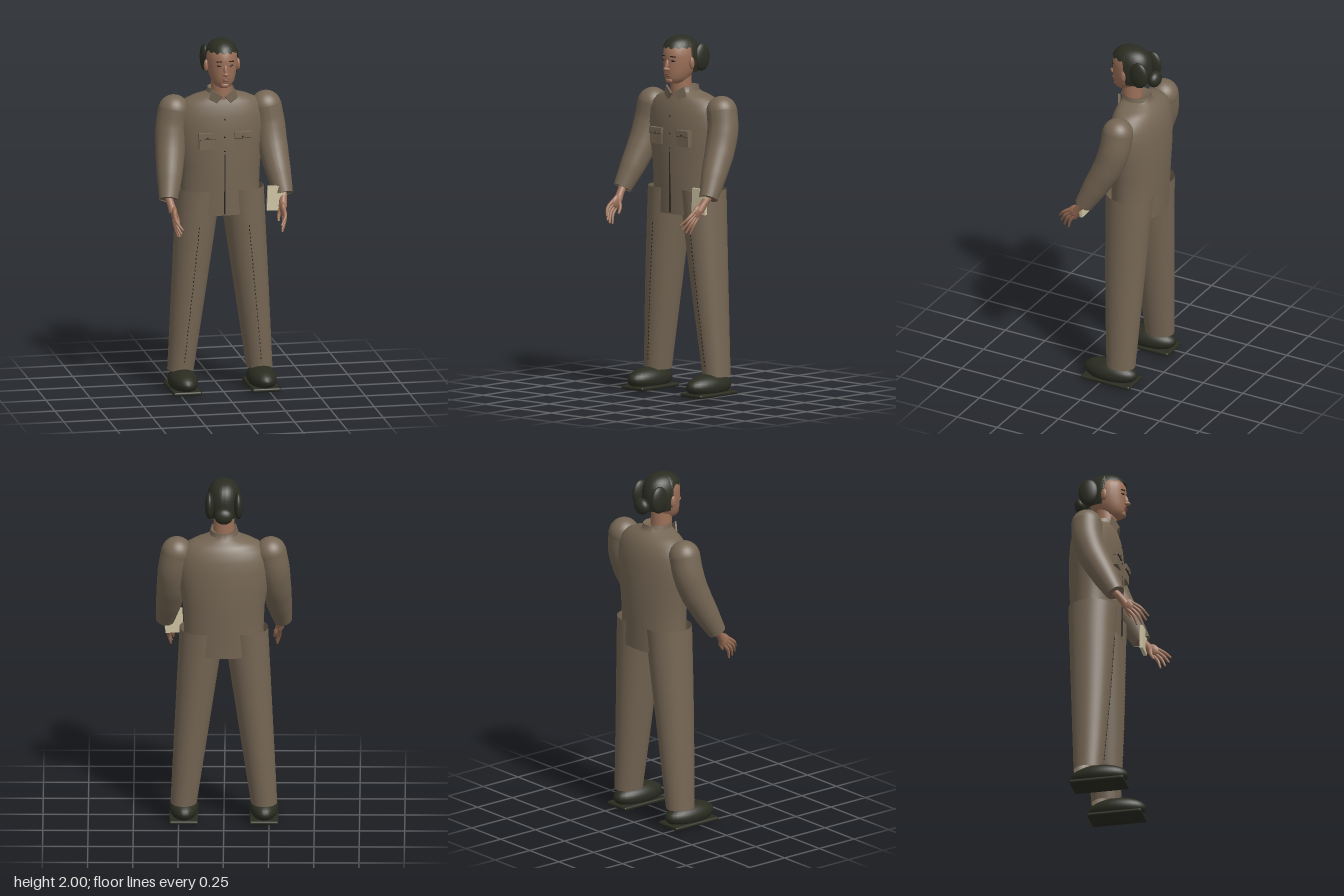
import * as THREE from 'three';
import { toCreasedNormals } from 'three/addons/utils/BufferGeometryUtils.js';
import { RoundedBoxGeometry } from 'three/addons/geometries/RoundedBoxGeometry.js';

const material = (name, color, side = THREE.FrontSide) =>
  Object.assign(new THREE.MeshStandardMaterial({ color, side }), { name });

// Grid of points from rows of rings; ringPoint(row, angle) returns [x, y, z]
function ringSurface(rows, seg, ringPoint) {
  const pos = [], index = [];
  for (let j = 0; j < rows; j++)
    for (let i = 0; i < seg; i++) pos.push(...ringPoint(j, (i / seg) * Math.PI * 2));
  for (let j = 0; j < rows - 1; j++)
    for (let i = 0; i < seg; i++) {
      const k = (i + 1) % seg, a = j * seg + i, b = j * seg + k;
      index.push(a, a + seg, b, b, a + seg, b + seg);
    }
  const g = new THREE.BufferGeometry();
  g.setAttribute('position', new THREE.Float32BufferAttribute(pos, 3));
  g.setIndex(index);
  return toCreasedNormals(g, 0.8);
}

// Elliptical cross-sections: [y, halfWidth, frontZ, backZ, centreX]
const loft = (rings, seg = 40) => ringSurface(rings.length, seg, (j, a) => {
  const [y, rx, zf, zb, cx = 0] = rings[j];
  return [cx + rx * Math.cos(a), y, (zf + zb) / 2 + ((zf - zb) / 2) * Math.sin(a)];
});

// Tube along a curve with changing radius
function taperTube(points, radii, seg = 20, radial = 24) {
  const curve = new THREE.CatmullRomCurve3(points.map(p => new THREE.Vector3(...p)));
  const g = new THREE.TubeGeometry(curve, seg, 1, radial);
  const p = g.attributes.position, v = new THREE.Vector3();
  for (let i = 0; i < p.count; i++) {
    const u = Math.floor(i / (radial + 1)) / seg, c = curve.getPointAt(u);
    const f = u * (radii.length - 1), k = Math.min(Math.floor(f), radii.length - 2);
    const r = THREE.MathUtils.lerp(radii[k], radii[k + 1], f - k);
    v.fromBufferAttribute(p, i).sub(c).multiplyScalar(r).add(c);
    p.setXYZ(i, v.x, v.y, v.z);
  }
  g.computeVertexNormals();
  return g;
}

export function createModel() {
  const cloth = material('khaki cloth', 0x756654, THREE.DoubleSide);
  const skin = material('skin', 0x9a6f57);
  const hair = material('dark hair', 0x2b2d22, THREE.DoubleSide);
  const leather = material('shoe leather', 0x2a2c21);
  const dark = material('dark detail', 0x2b251f);
  const lip = material('lips', 0x7e4f42);
  const paper = material('cream paper', 0xcfc4a4);

  const model = new THREE.Group();
  const add = (name, geo, mat, pos = [0, 0, 0], rot = [0, 0, 0]) => {
    const m = new THREE.Mesh(geo, mat);
    m.name = name;
    m.position.set(...pos);
    m.rotation.set(...rot);
    model.add(m);
    return m;
  };
  const blob = (name, mat, pos, size, rot) =>
    add(name, new THREE.SphereGeometry(1, 28, 18), mat, pos, rot).scale.set(...size);
  const box = (name, mat, pos, size, rot) => add(name, new THREE.BoxGeometry(...size), mat, pos, rot);

  // Jacket body, from hem to stand collar
  add('jacket', loft([
    [1.01, 0.225, 0.03, -0.24], [1.15, 0.22, 0.035, -0.245], [1.28, 0.225, 0.04, -0.252],
    [1.4, 0.245, 0.041, -0.254], [1.5, 0.255, 0.038, -0.25], [1.57, 0.25, 0.032, -0.243],
    [1.62, 0.23, 0.022, -0.228], [1.65, 0.2, 0.012, -0.212], [1.67, 0.155, 0.005, -0.195],
    [1.685, 0.1, 0.001, -0.175], [1.695, 0.078, 0, -0.167], [1.72, 0.072, 0, -0.165],
    [1.71, 0.06, -0.01, -0.15], [1.69, 0, -0.07, -0.07],
  ], 56), cloth);
  box('placket', dark, [0, 1.19, 0.038], [0.005, 0.34, 0.009]);
  for (const y of [1.56, 1.46, 1.38]) blob('jacketButton', dark, [0, y, 0.04], [0.005, 0.005, 0.004]);

  // Neck and head
  add('neck', new THREE.CylinderGeometry(0.057, 0.062, 0.2, 32), skin, [0, 1.7, -0.053]);
  const headRings = [
    [1.735, 0, 0.01, 0.01], [1.738, 0.026, 0.034, -0.03], [1.75, 0.047, 0.05, -0.07],
    [1.775, 0.064, 0.058, -0.105], [1.81, 0.075, 0.06, -0.13], [1.85, 0.082, 0.06, -0.148],
    [1.89, 0.084, 0.061, -0.152], [1.925, 0.081, 0.059, -0.148], [1.95, 0.072, 0.044, -0.135],
    [1.975, 0.045, 0.01, -0.1], [1.985, 0, -0.05, -0.05],
  ];
  add('head', loft(headRings, 48), skin);
  blob('noseBridge', skin, [0, 1.845, 0.06], [0.011, 0.034, 0.014], [-0.25, 0, 0]);
  blob('noseTip', skin, [0, 1.823, 0.068], [0.014, 0.012, 0.018]);
  blob('upperLip', lip, [0, 1.794, 0.06], [0.021, 0.005, 0.008]);
  blob('lowerLip', lip, [0, 1.785, 0.059], [0.018, 0.006, 0.009]);
  blob('chin', skin, [0, 1.757, 0.045], [0.024, 0.016, 0.014]);

  // Hair cap: hairline is high over the face and low behind the ears
  add('hairCap', ringSurface(14, 72, (j, a) => {
    const f = Math.sin(a);
    const low = THREE.MathUtils.lerp(1.8, 1.94 + 0.005 * Math.sin(a * 14), THREE.MathUtils.smoothstep(f, -0.08, 0.12));
    const y = THREE.MathUtils.lerp(low, 2, Math.sin((j / 13) * Math.PI / 2));
    const t = Math.min(Math.abs(y - 1.87) / 0.13, 1);
    const k = Math.pow(1 - Math.pow(t, 2.5), 0.4);
    return [0.094 * k * Math.cos(a), y, -0.048 + 0.122 * k * f];
  }), hair);
  blob('backBun', hair, [0, 1.835, -0.194], [0.051, 0.046, 0.035]);

  for (const s of [1, -1]) {
    // Face details and side buns
    blob('ear', skin, [s * 0.089, 1.853, -0.045], [0.013, 0.034, 0.018], [0, s * 0.3, 0]);
    blob('sideBun', hair, [s * 0.08, 1.878, -0.135], [0.025, 0.077, 0.056]);
    box('eyebrow', dark, [s * 0.034, 1.893, 0.051], [0.032, 0.006, 0.009], [0, s * 0.35, -s * 0.12]);
    blob('eye', dark, [s * 0.034, 1.869, 0.05], [0.014, 0.005, 0.006], [0, s * 0.35, 0]);
    blob('nostril', skin, [s * 0.012, 1.82, 0.061], [0.008, 0.008, 0.011]);

    // Collar flap
    const flap = new THREE.Shape([[0.003, 1.685], [0.068, 1.722], [0.085, 1.67], [0.043, 1.642]]
      .map(([x, y]) => new THREE.Vector2(s * x, y)));
    add('collarFlap', new THREE.ExtrudeGeometry(flap, { depth: 0.01, bevelEnabled: false }),
      cloth, [0, 0, 0.018], [0, s * 0.4, 0]);

    // Chest pocket
    box('pocket', cloth, [s * 0.1, 1.435, 0.03], [0.086, 0.08, 0.03]);
    box('pocketFlap', cloth, [s * 0.1, 1.47, 0.035], [0.094, 0.032, 0.034]);
    box('pocketFlapSeam', dark, [s * 0.1, 1.453, 0.047], [0.092, 0.003, 0.009]);
    blob('pocketButton', dark, [s * 0.1, 1.462, 0.054], [0.005, 0.005, 0.005]);

    // Sleeve with rounded shoulder
    blob('shoulder', cloth, [s * 0.26, 1.593, -0.103], [0.086, 0.087, 0.086]);
    add('sleeve', taperTube([
      [s * 0.26, 1.6, -0.103], [s * 0.277, 1.5, -0.094], [s * 0.288, 1.39, -0.06],
      [s * 0.303, 1.27, 0.0], [s * 0.325, 1.13, 0.075],
    ], [0.086, 0.086, 0.081, 0.07, 0.052], 28, 32), cloth);
    add('cuffOpening', new THREE.CircleGeometry(0.051, 28), cloth, [s * 0.325, 1.132, 0.074], [1.1, s * 0.14, 0]);

    // Hand with fanned fingers
    add('wrist', taperTube([[s * 0.323, 1.14, 0.07], [s * 0.315, 1.1, 0.105], [s * 0.308, 1.065, 0.13]],
      [0.022, 0.021, 0.024], 8, 16), skin);
    blob('palm', skin, [s * 0.306, 1.062, 0.142], [0.017, 0.033, 0.044], [0.75, 0, 0]);
    const fingers = [
      [1.065, 0.172, 0.995, 0.25], [1.052, 0.168, 0.97, 0.238], [1.04, 0.16, 0.952, 0.216],
      [1.032, 0.147, 0.945, 0.188],
    ];
    fingers.forEach(([y0, z0, y1, z1], i) => {
      const x1 = 0.279 + i * 0.005;
      add('finger', taperTube([[s * 0.308, y0 + 0.01, z0 - 0.014],
        [s * 0.306, (y0 + y1) / 2 + 0.004, (z0 + z1) / 2 + 0.004], [s * x1, y1, z1]],
        [0.011, 0.0095, 0.0055], 10, 12), skin);
      blob('fingertip', skin, [s * x1, y1, z1], [0.0057, 0.0057, 0.0057]);
    });
    add('thumb', taperTube([[s * 0.302, 1.07, 0.13], [s * 0.286, 1.03, 0.135], [s * 0.28, 0.995, 0.155]],
      [0.014, 0.011, 0.006], 10, 12), skin);

    // Trouser leg, open at the waist
    const top = [1.15, 0.125, 0.033, -0.237, 0.12], bottom = [0.115, 0.073, -0.02, -0.185, 0.222];
    const legAt = u => bottom.map((b, i) => THREE.MathUtils.lerp(b, top[i], u) + (i === 2 ? 0.006 : 0) * Math.sin(u * Math.PI));
    const legRings = Array.from({ length: 9 }, (_, i) => legAt(i / 8)).map(r => [...r.slice(0, 4), s * r[4]]);
    add('trouserLeg', loft(legRings, 44), cloth);

    // Stitched crease down the front of the leg
    for (let i = 0; i < 36; i++) {
      const [y, , zf, , cx] = legAt(0.06 + 0.74 * (i / 35));
      box('creaseStitch', dark, [s * cx, y, zf], [0.005, 0.01, 0.005]);
    }

    // Shoe
    blob('shoe', leather, [s * 0.222, 0.066, -0.038], [0.08, 0.066, 0.162]);
    add('sole', new RoundedBoxGeometry(0.16, 0.022, 0.307, 3, 0.01), leather, [s * 0.222, 0.022, -0.042]);
  }

  // Booklet held in the left hand
  box('booklet', paper, [0.277, 1.113, 0.095], [0.1, 0.14, 0.018], [0, 0, -0.04]);

  return model;
}
